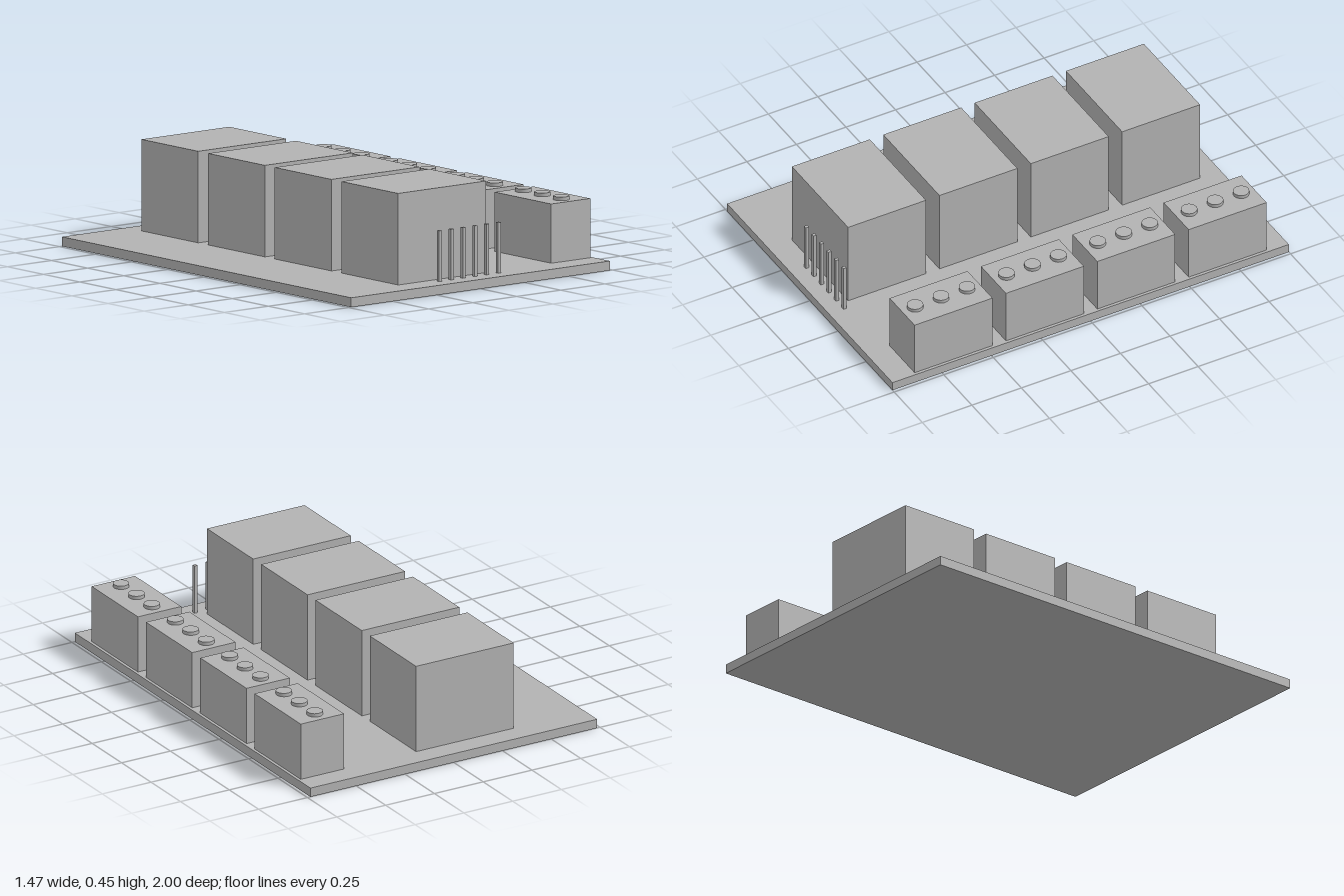
import * as THREE from 'three';

export function createModel() {
  const model = new THREE.Group();
  model.name = 'relayBoard';
  const grey = new THREE.MeshStandardMaterial({ color: 0xb2b2b2 });
  grey.name = 'plain grey';

  // Adds a mesh whose underside rests at height y
  function add(name, geometry, height, x, y, z, parent = model) {
    const mesh = new THREE.Mesh(geometry, grey);
    mesh.name = name;
    mesh.position.set(x, y + height / 2, z);
    parent.add(mesh);
  }
  function box(name, w, h, d, x, y, z, parent) {
    add(name, new THREE.BoxGeometry(w, h, d), h, x, y, z, parent);
  }

  // Circuit board
  const boardTop = 0.042;
  box('circuitBoard', 1.47, boardTop, 2, 0, 0, 0);

  // Four channels, each a relay with a three-screw terminal block
  const blockHeight = 0.264;
  const screwHeight = 0.016;
  const screw = new THREE.CylinderGeometry(0.036, 0.036, screwHeight, 32);
  for (let i = 0; i < 4; i++) {
    const channel = new THREE.Group();
    channel.name = 'channel' + (i + 1);
    channel.position.z = -0.699 + i * 0.461;
    model.add(channel);
    box('relay', 0.5, 0.408, 0.393, -0.12, boardTop, 0, channel);
    box('terminalBlock', 0.222, blockHeight, 0.393, 0.61, boardTop, 0, channel);
    for (const z of [-0.131, 0, 0.131]) {
      add('terminalScrew', screw, screwHeight, 0.61, boardTop + blockHeight, z, channel);
    }
  }

  // Row of header pins along the front edge
  for (let i = 0; i < 6; i++) {
    box('headerPin', 0.016, 0.226, 0.016, -0.169 + i * 0.067, boardTop, 0.921);
  }
  return model;
}
